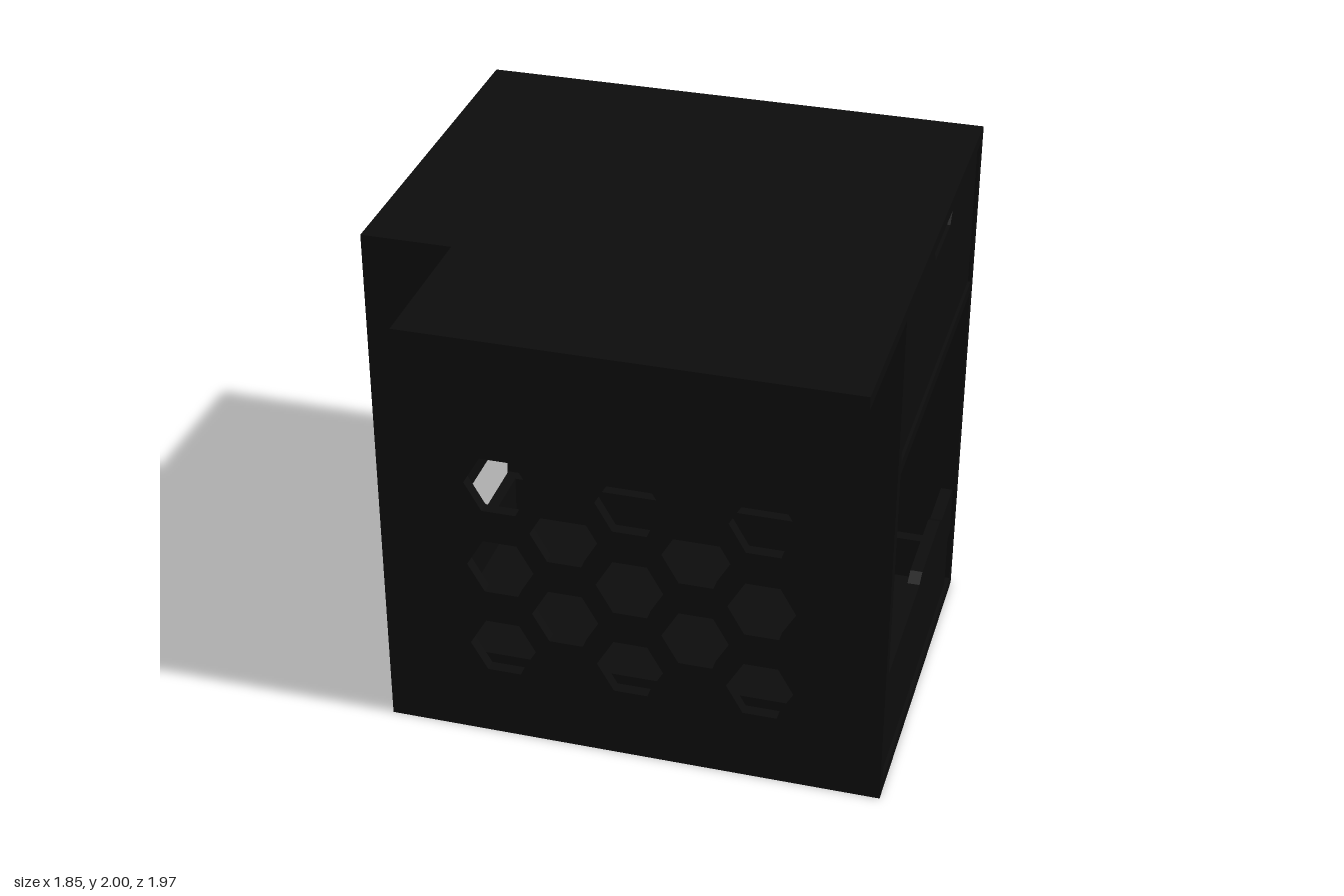
import * as THREE from 'three';

const T = 0.045;                       // sheet thickness
const W = 0.925;                       // half width
const ZB = -0.985, ZF = 0.415;         // back and front of the cabinet
const mat = new THREE.MeshStandardMaterial({ color: 0x0c0c0c });

function add(parent, name, geometry) {
  const mesh = new THREE.Mesh(geometry, mat);
  mesh.name = name;
  parent.add(mesh);
  return mesh;
}

// Box given by its limits on each axis
function board(parent, name, [x0, x1], [y0, y1], [z0, z1]) {
  const mesh = add(parent, name, new THREE.BoxGeometry(x1 - x0, y1 - y0, z1 - z0));
  mesh.position.set((x0 + x1) / 2, (y0 + y1) / 2, (z0 + z1) / 2);
}

function polygon(points, Kind = THREE.Shape) {
  return new Kind(points.map(([a, b]) => new THREE.Vector2(a, b)));
}

function sheet(shape, depth = T) {
  return new THREE.ExtrudeGeometry(shape, { depth, bevelEnabled: false });
}

// Sheet drawn in (z, y) and set across the x axis, starting at x
function sidePlate(parent, name, points, x, depth = T) {
  const g = sheet(polygon(points.map(([z, y]) => [-z, y])), depth);
  g.rotateY(Math.PI / 2);
  add(parent, name, g).position.x = x;
}

// Front or back wall with staggered hexagonal vents
function ventedWall() {
  const shape = polygon([[-W, 0], [W, 0], [W, 2 - T], [-W, 2 - T]]);
  for (let row = 0; row < 5; row++) {
    const xs = row % 2 ? [-0.24, 0.24] : [-0.478, 0, 0.478];
    for (const x of xs) {
      const y = 0.387 + row * 0.1725;
      const hex = [];
      for (let i = 0; i < 6; i++) {
        const a = -i * Math.PI / 3;
        hex.push([x + 0.125 * Math.cos(a), y + 0.125 * Math.sin(a)]);
      }
      shape.holes.push(polygon(hex, THREE.Path));
    }
  }
  return sheet(shape);
}

export function createModel() {
  const model = new THREE.Group();
  model.name = 'cabinet';
  const zIn = [ZB + T, ZF - T];

  // Outer walls
  add(model, 'frontWall', ventedWall()).position.z = ZF - T;
  add(model, 'backWall', ventedWall()).position.z = ZB;

  // Lid overhanging the front, with one corner cut away
  const lid = sheet(polygon([
    [-W, -ZB], [-W, -ZF], [-0.605, -ZF], [-0.605, -0.985], [W, -0.985], [W, -ZB],
  ]));
  lid.rotateX(-Math.PI / 2);
  add(model, 'lid', lid).position.y = 2 - T;

  // Floor, divider and the two fixed panels on the right side
  board(model, 'floor', [-W, W], [0, 0.05], zIn);
  board(model, 'divider', [-W, W], [1.345, 1.39], zIn);
  board(model, 'upperSidePanel', [-W, -W + T], [1.39, 2 - T], zIn);
  board(model, 'middleSidePanel', [-W, -W + T], [0.51, 0.895], zIn);

  // Upper compartment front with a finger notch in its top edge
  sidePlate(model, 'upperDrawerFront', [
    [0.365, 1.395], [0.365, 1.95], [-0.1, 1.95], [-0.15, 1.88],
    [-0.42, 1.88], [-0.47, 1.95], [-0.935, 1.95], [-0.935, 1.395],
  ], 0.87);

  // Lower drawer: shouldered front with a raised grip, and a low tray behind
  const drawer = new THREE.Group();
  drawer.name = 'lowerDrawer';
  model.add(drawer);
  sidePlate(drawer, 'drawerFront', [
    [0.315, 0.06], [0.315, 0.275], [0.35, 0.275], [0.36, 0.285], [0.36, 0.47], [0.35, 0.48],
    [-0.25, 0.48], [-0.3, 0.505], [-0.65, 0.505], [-0.7, 0.48],
    [-0.92, 0.48], [-0.93, 0.47], [-0.93, 0.285], [-0.92, 0.275], [-0.88, 0.275], [-0.88, 0.06],
  ], 0.87);
  const zTray = [-0.88, 0.315], yTray = [0.06, 0.275];
  board(drawer, 'drawerBottom', [-0.9, 0.87], [0.06, 0.1], zTray);
  board(drawer, 'drawerBack', [-0.9, -0.9 + T], yTray, zTray);
  for (const z of [-0.88, 0.315 - T]) {
    board(drawer, 'drawerSide', [-0.9 + T, 0.87], yTray, [z, z + T]);
  }
  return model;
}
